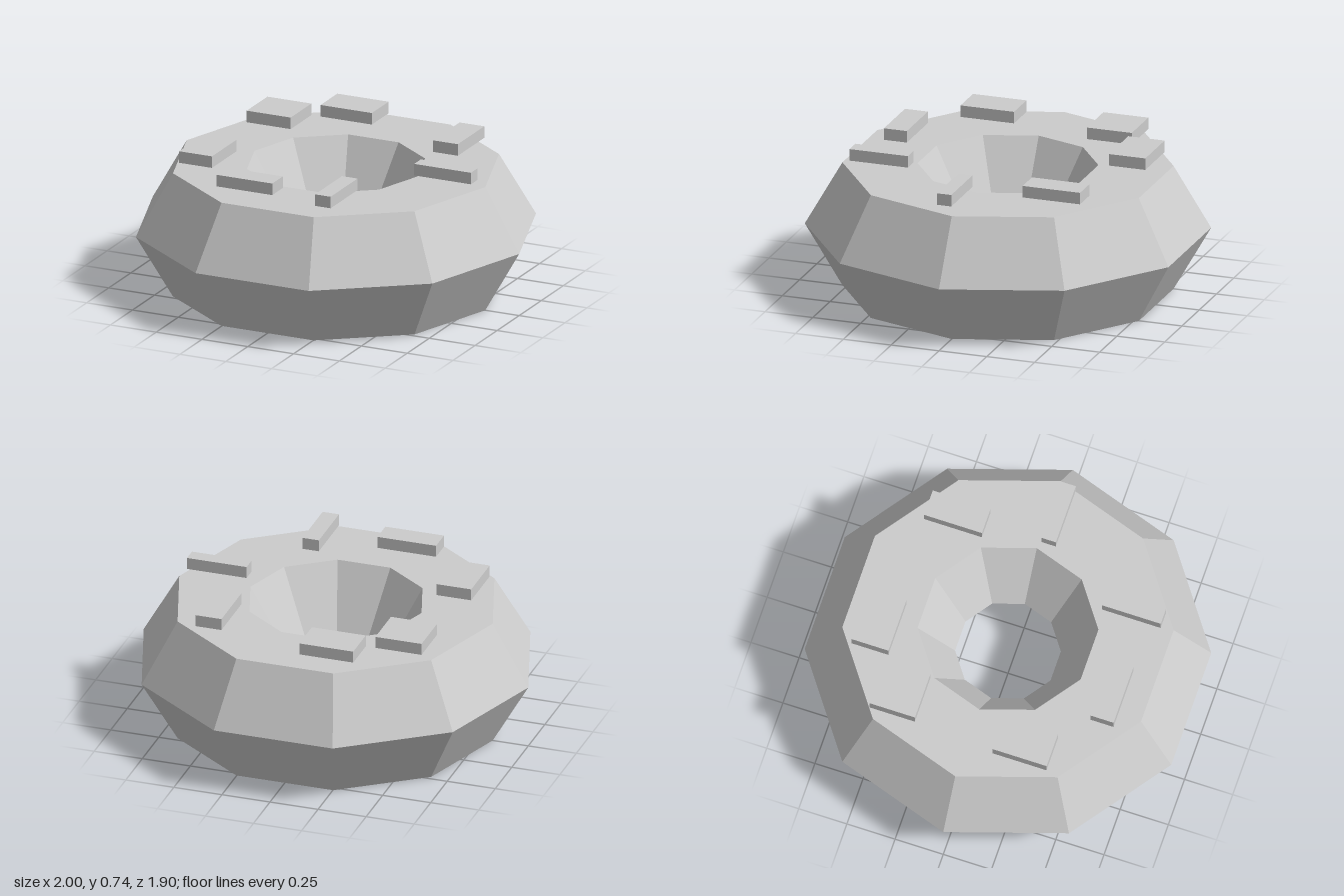
import * as THREE from 'three';

export function createModel() {
  const group = new THREE.Group();
  const grey = new THREE.MeshStandardMaterial({ name: 'plainGrey', color: 0xcccccc, flatShading: true });

  // Ring: hexagonal section swept round ten sides
  const tube = 0.37;
  const ringGeometry = new THREE.TorusGeometry(0.63, tube, 6, 10);
  ringGeometry.rotateX(-Math.PI / 2);
  const ring = new THREE.Mesh(ringGeometry, grey);
  ring.name = 'ring';
  ring.position.y = tube * Math.sin(Math.PI / 3);
  group.add(ring);

  // Sprinkles: flat blocks hovering over the top face [x0, x1, z0, z1]
  const sprinkles = new THREE.Group();
  sprinkles.name = 'sprinkles';
  const spans = [
    [-0.33, -0.05, -0.7, -0.51],
    [-0.62, -0.38, -0.51, -0.275],
    [-0.655, -0.475, 0.14, 0.42],
    [-0.335, -0.03, 0.54, 0.66],
    [0.23, 0.315, 0.41, 0.715],
    [0.47, 0.78, 0.015, 0.09],
    [0.4, 0.535, -0.57, -0.27],
  ];
  spans.forEach(([x0, x1, z0, z1], i) => {
    const block = new THREE.Mesh(new THREE.BoxGeometry(x1 - x0, 0.06, z1 - z0), grey);
    block.name = `sprinkle${i + 1}`;
    block.position.set((x0 + x1) / 2, 0.708, (z0 + z1) / 2);
    sprinkles.add(block);
  });
  group.add(sprinkles);

  return group;
}
